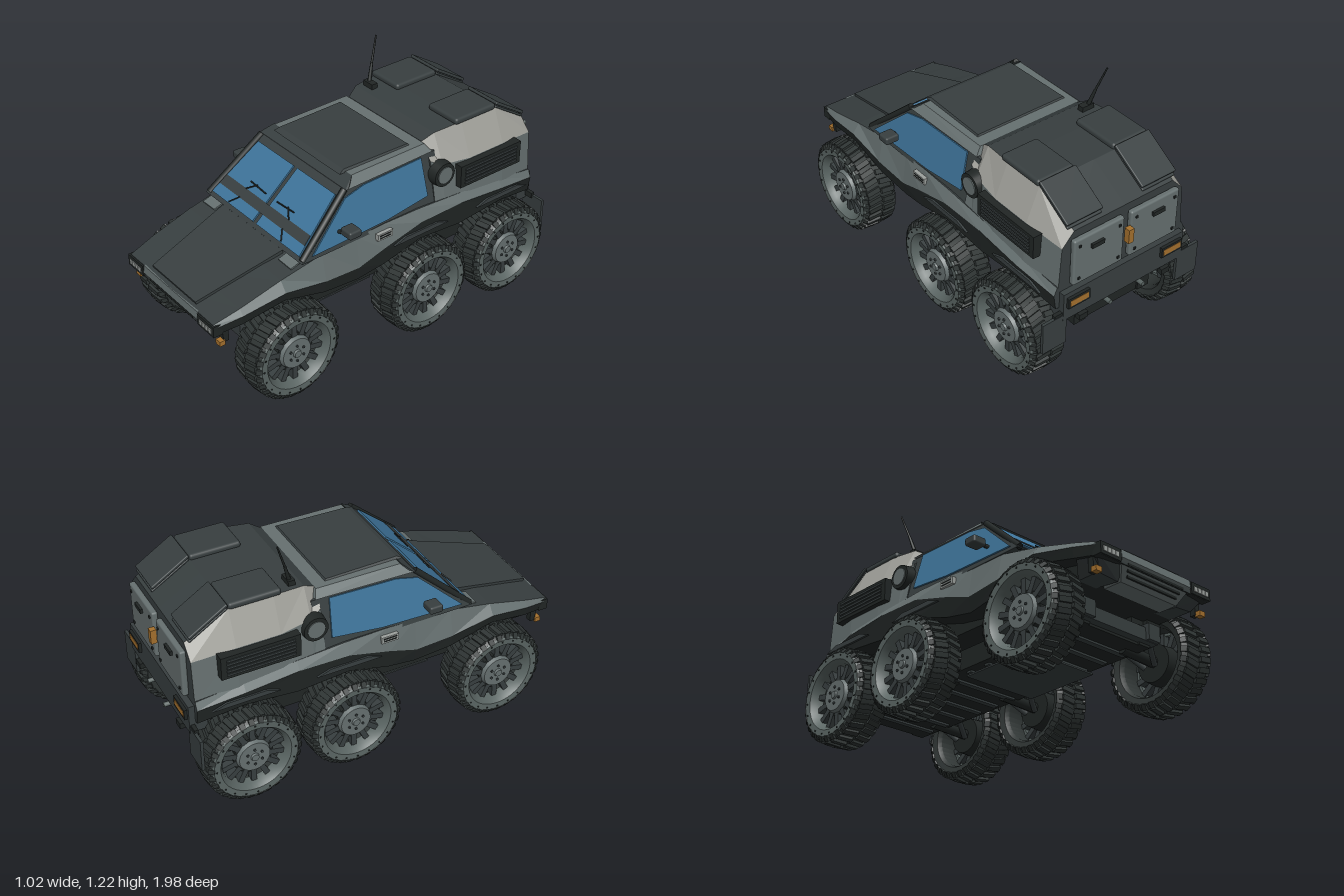
import * as THREE from 'three';
import { mergeGeometries, toCreasedNormals } from 'three/addons/utils/BufferGeometryUtils.js';
import { RoundedBoxGeometry } from 'three/addons/geometries/RoundedBoxGeometry.js';
import { ConvexGeometry } from 'three/addons/geometries/ConvexGeometry.js';

const paint = (name, color) => Object.assign(new THREE.MeshStandardMaterial({ color }), { name });
const charcoal = paint('charcoal', 0x383f40), grey = paint('panelGrey', 0x667070), pale = paint('paleGrey', 0xa0a09a);
const black = paint('black', 0x212625), rubber = paint('rubber', 0x2f3534), rimGrey = paint('rimGrey', 0x5a6563);
const glass = paint('glass', 0x3e749a), amber = paint('amber', 0xa5712e), lens = paint('lens', 0x9ca19e);
const V = (x, y, z) => new THREE.Vector3(x, y, z);

export function createModel() {
  const root = new THREE.Group();
  root.name = 'sixWheelRover';
  const add = (name, geo, mat, x = 0, y = 0, z = 0, parent = root) => {
    const m = new THREE.Mesh(geo, mat);
    m.name = name;
    m.position.set(x, y, z);
    parent.add(m);
    return m;
  };
  const box = (name, mat, w, h, d, x, y, z) => add(name, new THREE.BoxGeometry(w, h, d), mat, x, y, z);
  const pair = fn => [1, -1].forEach(fn);
  const hull = (name, mat, pts) => add(name, new ConvexGeometry(pts), mat);
  // hull of points repeated on both sides of the centre line
  const symHull = (name, mat, pts) => hull(name, mat, pts.flatMap(([x, y, z]) => [V(x, y, z), V(-x, y, z)]));
  // thin slab through a flat convex outline
  const plate = (name, mat, pts, t = 0.009) => {
    const p = pts.map(a => V(...a));
    const n = p[1].clone().sub(p[0]).cross(p[2].clone().sub(p[0])).normalize().multiplyScalar(t / 2);
    return hull(name, mat, p.flatMap(q => [q.clone().add(n), q.clone().sub(n)]));
  };
  const rod = (name, mat, a, b, r, r2 = r) => {
    const A = V(...a), B = V(...b), d = B.clone().sub(A);
    const m = add(name, new THREE.CylinderGeometry(r2, r, d.length(), 8), mat);
    m.position.copy(A).addScaledVector(d, 0.5);
    m.quaternion.setFromUnitVectors(V(0, 1, 0), d.normalize());
    return m;
  };
  // mirrored loft: each section is [z, topY, [x,y]..., bottomY], one material per band
  const loft = (name, secs, mats, capMat) => {
    const buckets = new Map();
    const rows = secs.map(([z, top, ...r]) => {
      const bottom = r.pop();
      return [[0, top], ...r, [0, bottom]].map(([x, y]) => [x, y, z]);
    });
    pair(s => {
      const tri = (mat, a, b, c) => {
        if (!buckets.has(mat)) buckets.set(mat, []);
        for (const p of s > 0 ? [a, b, c] : [a, c, b]) buckets.get(mat).push(p[0] * s, p[1], p[2]);
      };
      for (let i = 0; i < rows.length - 1; i++) mats.forEach((mat, j) => {
        const [a, b, c, d] = [rows[i][j], rows[i][j + 1], rows[i + 1][j + 1], rows[i + 1][j]];
        tri(mat, a, b, c);
        tri(mat, a, c, d);
      });
      const f = rows[0], e = rows[rows.length - 1];
      for (let j = 1; j < f.length - 1; j++) {
        tri(capMat, f[0], f[j + 1], f[j]);
        tri(capMat, e[0], e[j], e[j + 1]);
      }
    });
    buckets.forEach((v, mat) => {
      const g = new THREE.BufferGeometry();
      g.setAttribute('position', new THREE.Float32BufferAttribute(v, 3));
      g.computeVertexNormals();
      add(name, g, mat);
    });
  };

  // lower body with hood, shoulders and arched sills
  loft('lowerBody', [
    [0.985, 0.5, [0.345, 0.497], [0.355, 0.48], [0.345, 0.435], 0.435],
    [0.85, 0.54, [0.362, 0.535], [0.385, 0.505], [0.375, 0.455], 0.455],
    [0.63, 0.605, [0.372, 0.595], [0.41, 0.545], [0.4, 0.5], 0.5],
    [0.4, 0.65, [0.38, 0.642], [0.41, 0.505], [0.4, 0.44], 0.44],
    [0.2, 0.655, [0.382, 0.65], [0.405, 0.49], [0.39, 0.415], 0.415],
    [0.05, 0.66, [0.385, 0.66], [0.412, 0.54], [0.4, 0.44], 0.44],
    [-0.17, 0.67, [0.39, 0.66], [0.42, 0.6], [0.415, 0.505], 0.505],
    [-0.43, 0.66, [0.392, 0.645], [0.42, 0.605], [0.41, 0.48], 0.48],
    [-0.7, 0.62, [0.392, 0.62], [0.42, 0.58], [0.41, 0.505], 0.505],
    [-0.93, 0.58, [0.375, 0.58], [0.392, 0.54], [0.38, 0.46], 0.46],
  ], [charcoal, grey, black, black], charcoal);
  box('bodyTub', black, 0.6, 0.13, 1.82, 0, 0.455, -0.02);
  plate('hoodPanel', charcoal, [[-0.24, 0.634, 0.52], [0.24, 0.634, 0.52], [0.18, 0.51, 0.965], [-0.18, 0.51, 0.965]], 0.018);

  // nose: fascia, grille, headlights, indicators
  symHull('frontFascia', grey, [[0.225, 0.5, 0.988], [0.225, 0.46, 0.993], [0.18, 0.375, 0.938], [0.18, 0.375, 0.84], [0.225, 0.5, 0.84]]);
  for (let i = 0; i < 3; i++) box('grilleSlot', black, 0.36 - i * 0.02, 0.012, 0.008, 0, 0.443 - i * 0.021, 0.983 - i * 0.0136);
  pair(s => {
    box('headlightHousing', black, 0.128, 0.058, 0.05, s * 0.294, 0.465, 0.968);
    for (let i = 0; i < 4; i++) box('headlightLens', lens, 0.021, 0.025, 0.008, s * (0.257 + i * 0.025), 0.463, 0.993);
    plate('hoodVent', grey, [[s * 0.26, 0.635, 0.5], [s * 0.355, 0.633, 0.5], [s * 0.355, 0.615, 0.56], [s * 0.26, 0.618, 0.56]], 0.008);
    box('indicatorBracket', black, 0.03, 0.07, 0.03, s * 0.33, 0.41, 0.92);
    box('frontIndicator', amber, 0.035, 0.025, 0.03, s * 0.337, 0.38, 0.945);
    hull('noseCheek', charcoal, [V(s * 0.35, 0.46, 0.965), V(s * 0.19, 0.44, 0.97), V(s * 0.19, 0.375, 0.93),
      V(s * 0.3, 0.39, 0.92), V(s * 0.3, 0.39, 0.8), V(s * 0.36, 0.46, 0.85), V(s * 0.19, 0.39, 0.8)]);
  });

  // cabin shell; side planes lean in by sideX, screen leans back by screenZ
  const sideX = y => 0.382 - (y - 0.66) * 0.24;
  const screenZ = y => 0.515 - (y - 0.645) * 1.16;
  symHull('cabin', charcoal, [[0.64, 0.52], [0.895, 0.225], [0.9, -0.32], [0.64, -0.32]].map(([y, z]) => [sideX(y), y, z]));
  symHull('roofCap', grey, [[0.332, 0.893, 0.22], [0.332, 0.905, -0.3], [0.295, 0.935, 0.16], [0.295, 0.938, -0.28]]);
  symHull('roofBrow', charcoal, [[0.335, 0.885, 0.237], [0.335, 0.9, 0.21], [0.3, 0.937, 0.165], [0.3, 0.91, 0.165]]);
  symHull('roofHatch', charcoal, [[0.255, 0.932, 0.2], [0.265, 0.932, -0.22], [0.245, 0.945, 0.17], [0.255, 0.945, -0.21]]);
  const screen = (x, y, lift = 0.003) => [x, y + lift, screenZ(y) + lift];
  pair(s => {
    plate('windscreen', glass, [screen(s * 0.014, 0.655), screen(s * 0.35, 0.655), screen(s * 0.3, 0.868), screen(s * 0.014, 0.868)]);
    const w = [[0.66, 0.46], [0.86, 0.235], [0.885, 0.12], [0.893, -0.23], [0.7, -0.24], [0.672, 0.02]];
    plate('sideWindow', glass, w.map(([y, z]) => [s * (sideX(y) + 0.003), y, z]));
    rod('windscreenPillar', black, [s * 0.372, 0.645, 0.51], [s * 0.32, 0.895, 0.225], 0.016);
    rod('wiperArm', black, screen(s * 0.17, 0.725, 0.01), screen(s * 0.12, 0.755, 0.01), 0.0035);
    rod('wiperBlade', black, screen(s * 0.045, 0.748, 0.01), screen(s * 0.17, 0.752, 0.01), 0.0035);
    rod('lowerWiperArm', black, screen(s * 0.21, 0.66, 0.01), screen(s * 0.17, 0.692, 0.01), 0.0035);
    // mirror
    rod('mirrorArm', black, [s * 0.365, 0.72, 0.3], [s * 0.43, 0.735, 0.28], 0.01);
    add('mirror', new RoundedBoxGeometry(0.075, 0.04, 0.07, 2, 0.01), charcoal, s * 0.428, 0.738, 0.27);
    // side marker and fender lips
    box('sideMarker', lens, 0.02, 0.035, 0.09, s * 0.404, 0.615, 0.05);
    for (let i = 0; i < 2; i++) box('markerSlot', black, 0.008, 0.006, 0.07, s * 0.412, 0.609 + i * 0.013, 0.05);
    for (const z of [-0.17, -0.7]) hull('fenderLip', charcoal, [0.415, 0.426].flatMap(x => [V(s * x, 0.56, z + 0.1), V(s * x, 0.56, z - 0.1),
      V(s * x, 0.535, z + 0.17), V(s * x, 0.535, z - 0.17)]));
  });
  plate('dashStrip', charcoal, [screen(-0.34, 0.69, 0.005), screen(0.34, 0.69, 0.005), screen(0.332, 0.725, 0.005), screen(-0.332, 0.725, 0.005)]);

  // rear shell
  loft('rearShell', [
    [-0.28, 0.94, [0.275, 0.94], [0.345, 0.86], [0.388, 0.65], 0.6],
    [-0.34, 0.975, [0.295, 0.975], [0.365, 0.83], [0.392, 0.63], 0.58],
    [-0.5, 0.986, [0.312, 0.986], [0.382, 0.815], [0.398, 0.6], 0.56],
    [-0.72, 0.986, [0.312, 0.986], [0.382, 0.815], [0.398, 0.59], 0.55],
    [-0.93, 0.86, [0.29, 0.86], [0.355, 0.79], [0.37, 0.56], 0.55],
  ], [charcoal, pale, grey, black], charcoal);
  pair(s => {
    // roof pads: one flat, one on the slope with its raised cover
    add('roofPad', new RoundedBoxGeometry(0.205, 0.034, 0.26, 2, 0.014), charcoal, s * 0.217, 0.995, -0.59);
    [[0.951, 0.016, 0.205], [0.93, 0.012, 0.195]].forEach(([y, h, w]) => {
      add('slopedRoofPad', new RoundedBoxGeometry(w, h, 0.225, 2, 0.005), charcoal, s * 0.217, y, -0.82).rotation.x = -0.56;
    });
    // louvred side box
    box('louvreBox', black, 0.06, 0.12, 0.395, s * 0.387, 0.75, -0.615);
    for (let i = 0; i < 5; i++) box('louvreSlat', charcoal, 0.012, 0.01, 0.34, s * 0.416, 0.712 + i * 0.019, -0.615);
    // round vent
    const vent = new THREE.CylinderGeometry(0.062, 0.068, 0.05, 24).rotateZ(-Math.PI / 2 * s);
    add('roundVent', vent, black, s * 0.372, 0.79, -0.33);
    add('ventFace', new THREE.CylinderGeometry(0.045, 0.045, 0.008, 20).rotateZ(Math.PI / 2), grey, s * 0.398, 0.79, -0.33);
    // rear doors, lamps, flaps
    add('rearDoor', new RoundedBoxGeometry(0.29, 0.25, 0.03, 2, 0.01), grey, s * 0.165, 0.7, -0.945);
    box('doorHandle', black, 0.07, 0.022, 0.016, s * 0.18, 0.76, -0.965);
    for (const dx of [0.05, 0.28]) for (const y of [0.61, 0.79]) box('doorBolt', black, 0.012, 0.012, 0.008, s * dx, y, -0.962);
    box('tailLampHousing', black, 0.125, 0.055, 0.03, s * 0.28, 0.497, -0.96);
    box('tailLamp', amber, 0.105, 0.032, 0.008, s * 0.28, 0.497, -0.973);
    box('mudFlap', charcoal, 0.135, 0.17, 0.015, s * 0.405, 0.345, -0.95);
    box('mudFlapBracket', black, 0.08, 0.03, 0.02, s * 0.365, 0.43, -0.945);
    rod('towHook', rimGrey, [s * 0.1, 0.385, -0.92], [s * 0.1, 0.385, -0.985], 0.012);
    box('rearStep', black, 0.05, 0.03, 0.03, s * 0.25, 0.38, -0.96);
  });
  box('rearBumper', charcoal, 0.72, 0.15, 0.09, 0, 0.475, -0.915);
  box('centreLamp', amber, 0.03, 0.075, 0.03, 0, 0.72, -0.972);

  // antenna
  box('antennaBase', black, 0.07, 0.03, 0.035, -0.24, 0.99, -0.39);
  rod('antennaLower', black, [-0.25, 0.99, -0.39], [-0.268, 1.09, -0.42], 0.011, 0.007);
  rod('antennaWhip', black, [-0.268, 1.09, -0.42], [-0.292, 1.22, -0.465], 0.006, 0.004);

  // chassis
  const axles = [0.63, -0.17, -0.7];
  box('chassisFloor', black, 0.42, 0.07, 1.6, 0, 0.285, -0.08);
  box('skidPlate', charcoal, 0.42, 0.008, 0.42, 0, 0.222, 0.18);
  for (let i = 0; i < 12; i++) box('floorRib', charcoal, 0.4, 0.012, 0.03, 0, 0.246, 0.6 - i * 0.125);
  box('frontCrossBar', charcoal, 0.5, 0.065, 0.06, 0, 0.295, 0.73);
  pair(s => {
    box('chassisRail', black, 0.07, 0.1, 1.62, s * 0.195, 0.3, -0.08);
    box('frontBarMount', charcoal, 0.075, 0.08, 0.06, s * 0.21, 0.305, 0.75);
    for (const z of [0.68, -0.43, -0.85]) box('railMount', black, 0.09, 0.1, 0.05, s * 0.185, 0.365, z);
    for (const z of axles) {
      rod('axle', black, [s * 0.15, 0.26, z], [s * 0.4, 0.25, z], 0.028);
      pair(k => rod('suspensionArm', charcoal, [s * 0.21, 0.33, z + k * 0.1], [s * 0.34, 0.22, z + k * 0.03], 0.014));
      box('wheelWell', black, 0.09, 0.09, 0.2, s * 0.265, 0.37, z);
    }
  });

  // wheel geometry, axis along x with the outer face toward +x
  const lathe = pts => toCreasedNormals(new THREE.LatheGeometry(pts.map(p => new THREE.Vector2(...p)), 40).rotateZ(-Math.PI / 2), 0.5);
  const ringOf = (n, make) => mergeGeometries(Array.from({ length: n }, (_, i) => make(i).rotateX(i / n * Math.PI * 2)));
  const tyreGeo = lathe([[0.18, -0.083], [0.212, -0.092], [0.23, -0.07], [0.235, 0], [0.23, 0.07], [0.212, 0.092],
    [0.18, 0.083], [0.168, 0.06], [0.168, -0.06], [0.18, -0.083]]);
  const lugGeo = mergeGeometries([1, -1].flatMap(k => [
    ringOf(30, () => new THREE.BoxGeometry(0.074, 0.02, 0.026).rotateZ(-k * 0.08).rotateY(k * 0.16).translate(k * 0.04, 0.235, k * 0.008)),
    ringOf(30, () => new THREE.BoxGeometry(0.014, 0.03, 0.026).rotateZ(k * 0.6).translate(k * 0.084, 0.22, k * 0.014)),
  ]));
  const rimGeo = lathe([[0.155, 0.03], [0.175, 0.03], [0.219, 0.088], [0.213, 0.096], [0.18, 0.094], [0.162, 0.07], [0.155, 0.03]]);
  const spokeGeo = ringOf(14, () => new THREE.BoxGeometry(0.035, 0.085, 0.028).translate(0.04, 0.128, 0));
  const studGeo = ringOf(20, () => new THREE.BoxGeometry(0.008, 0.007, 0.007).translate(0.095, 0.2, 0));
  const boltGeo = ringOf(6, () => new THREE.CylinderGeometry(0.007, 0.007, 0.01, 6).rotateZ(Math.PI / 2).translate(0.076, 0.042, 0));
  const disc = (r1, r2, h, x) => new THREE.CylinderGeometry(r1, r2, h, 28).rotateZ(-Math.PI / 2).translate(x, 0, 0);
  const wheelParts = [
    ['tyre', tyreGeo, rubber], ['treadLugs', lugGeo, rubber], ['rim', rimGeo, rimGrey], ['spokes', spokeGeo, charcoal],
    ['rimStuds', studGeo, black], ['hubDrum', disc(0.1, 0.094, 0.1, 0.005), black], ['hubCap', disc(0.078, 0.09, 0.03, 0.06), grey],
    ['hubBolts', boltGeo, charcoal], ['hubCentre', disc(0.018, 0.022, 0.012, 0.079), grey],
  ];
  axles.forEach(z => pair(s => {
    const wheel = new THREE.Group();
    wheel.name = 'wheel';
    wheel.position.set(s * 0.41, 0.247, z);
    if (s < 0) wheel.rotation.y = Math.PI;
    wheelParts.forEach(([name, geo, mat]) => add(name, geo, mat, 0, 0, 0, wheel));
    root.add(wheel);
  }));
  return root;
}
